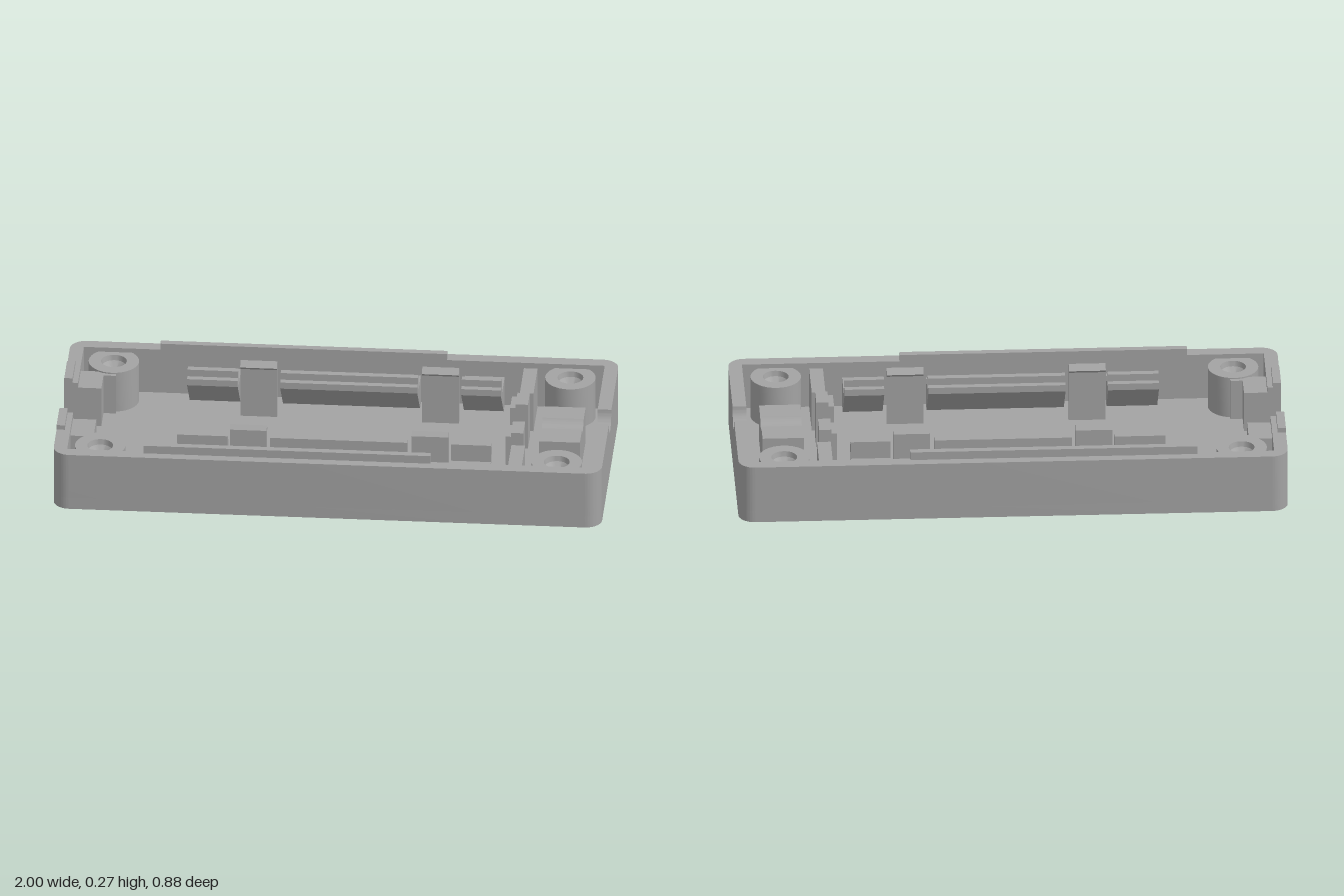
import * as THREE from 'three';
import { toCreasedNormals } from 'three/addons/utils/BufferGeometryUtils.js';

const TOP = 0.222, FLOOR = 0.045;

export function createModel() {
  const model = new THREE.Group();
  model.name = 'batteryCaseHalf';
  const plastic = new THREE.MeshStandardMaterial({ color: 0xa3a3a3 });
  plastic.name = 'grey plastic';

  const add = (name, geometry) => {
    const mesh = new THREE.Mesh(geometry, plastic);
    mesh.name = name;
    model.add(mesh);
    return mesh;
  };
  const block = (name, x0, x1, y0, y1, z0, z1) =>
    add(name, new THREE.BoxGeometry(x1 - x0, y1 - y0, Math.abs(z1 - z0))
      .translate((x0 + x1) / 2, (y0 + y1) / 2, (z0 + z1) / 2));
  // Plan outline (x, z) raised from y0 to y1
  const slab = (name, shape, y0, y1) => {
    const g = new THREE.ExtrudeGeometry(shape, { depth: y1 - y0, bevelEnabled: false, curveSegments: 10 });
    g.rotateX(Math.PI / 2).translate(0, y1, 0);
    return add(name, toCreasedNormals(g, 0.5));
  };
  // Cross-section (z, y) swept from x0 to x1
  const sweep = (name, shape, x0, x1) => {
    const g = new THREE.ExtrudeGeometry(shape, { depth: x1 - x0, bevelEnabled: false, curveSegments: 16 });
    g.rotateY(-Math.PI / 2).translate(x1, 0, 0);
    return add(name, toCreasedNormals(g, 0.5));
  };
  const polygon = (points) => new THREE.Shape(points.map(([a, b]) => new THREE.Vector2(a, b)));
  // Block section with a round cable channel in its top
  const channel = (halfWidth, y0, y1, r, cy) => {
    const s = new THREE.Shape();
    const a = Math.asin((cy - y1) / r);
    s.moveTo(-halfWidth, y0);
    s.lineTo(halfWidth, y0);
    s.lineTo(halfWidth, y1);
    s.lineTo(r * Math.cos(a), y1);
    s.absarc(0, cy, r, -a, -Math.PI + a, true);
    s.lineTo(-halfWidth, y1);
    s.closePath();
    return s;
  };

  // Floor plate with rounded corners
  const W = 1, D = 0.44, R = 0.06;
  const base = new THREE.Shape();
  base.moveTo(-W + R, -D);
  base.lineTo(W - R, -D);
  base.absarc(W - R, -D + R, R, -Math.PI / 2, 0, false);
  base.lineTo(W, D - R);
  base.absarc(W - R, D - R, R, 0, Math.PI / 2, false);
  base.lineTo(-W + R, D);
  base.absarc(-W + R, D - R, R, Math.PI / 2, Math.PI, false);
  base.lineTo(-W, -D + R);
  base.absarc(-W + R, -D + R, R, Math.PI, Math.PI * 1.5, false);
  slab('floor', base, 0, FLOOR);

  for (const s of [1, -1]) {
    const side = s > 0 ? 'front' : 'back';

    // Long wall that wraps round both corners
    const wall = new THREE.Shape();
    wall.moveTo(W, s * 0.1);
    wall.lineTo(W, s * (D - R));
    wall.absarc(W - R, s * (D - R), R, 0, s * Math.PI / 2, s < 0);
    wall.lineTo(-W + R, s * D);
    wall.absarc(-W + R, s * (D - R), R, s * Math.PI / 2, s * Math.PI, s < 0);
    for (const [x, z] of [[-W, 0.115], [-0.95, 0.115], [-0.95, 0.393], [0.95, 0.393], [0.95, 0.1]])
      wall.lineTo(x, s * z);
    slab(side + 'Wall', wall, FLOOR, TOP);

    // Locating lip on the rim and tab beside the end opening
    block(side + 'RimLip', -0.67, 0.375, 0.15, 0.253, s * 0.381, s * 0.406);
    block(side + 'EndTab', -1, -0.97, TOP, 0.24, s * 0.115, s * 0.248);

    // Posts beside the end opening
    block(side + 'EndPost', -0.95, -0.865, FLOOR, 0.2, s * 0.12, s * 0.22);
    block(side + 'EndRib', -0.95, -0.82, FLOOR, 0.2, s * 0.22, s * 0.25);

    // Undercut cell rail with gaps for the spring clips
    const rail = polygon([[0.215, 0.2], [0.215, 0.175], [0.345, FLOOR], [0.393, FLOOR], [0.393, 0.16],
      [0.262, 0.16], [0.262, 0.227], [0.238, 0.227], [0.238, 0.2]].map(([z, y]) => [s * z, y]));
    for (const [x0, x1] of [[-0.56, -0.375], [-0.22, 0.28], [0.44, 0.585]])
      sweep(side + 'CellRail', rail, x0, x1);

    // Hooked spring clips
    const clip = polygon([[0.238, FLOOR], [0.262, FLOOR], [0.262, 0.255], [0.247, 0.27],
      [0.226, 0.25], [0.238, 0.238]].map(([z, y]) => [s * z, y]));
    for (const x of [-0.367, 0.296]) sweep(side + 'SpringClip', clip, x, x + 0.134);

    // Partition by the cable compartment
    block(side + 'Partition', 0.655, 0.705, FLOOR, 0.2, s * 0.2, s * 0.395);

    // Countersunk screw bosses
    for (const x of [-0.835, 0.83]) {
      const profile = [[0.092, FLOOR], [0.092, 0.205], [0.047, 0.205], [0.043, 0.185],
        [0.022, 0.165], [0.022, FLOOR]].map(([r, y]) => new THREE.Vector2(r, y));
      const g = toCreasedNormals(new THREE.LatheGeometry(profile, 32), 0.5);
      add(side + 'ScrewBoss', g.translate(x, 0, s * 0.325));
    }

    // Contact holder arms
    block(side + 'ContactArm', 0.63, 0.65, FLOOR, 0.21, s * 0.065, s * 0.155);
    block(side + 'ContactPost', 0.65, 0.695, FLOOR, 0.226, s * 0.065, s * 0.155);
  }

  // Web between the contact posts, sill of the end opening
  block('contactWeb', 0.63, 0.65, FLOOR, 0.14, -0.065, 0.065);
  block('openingSill', -1, -0.95, FLOOR, 0.06, -0.115, 0.115);

  // Cable outlet and strain relief saddle
  sweep('cableOutlet', channel(0.1, FLOOR, TOP, 0.057, TOP), 0.95, 1);
  sweep('cableSaddle', channel(0.135, FLOOR, 0.185, 0.06, 0.222), 0.75, 0.9);

  return model;
}
